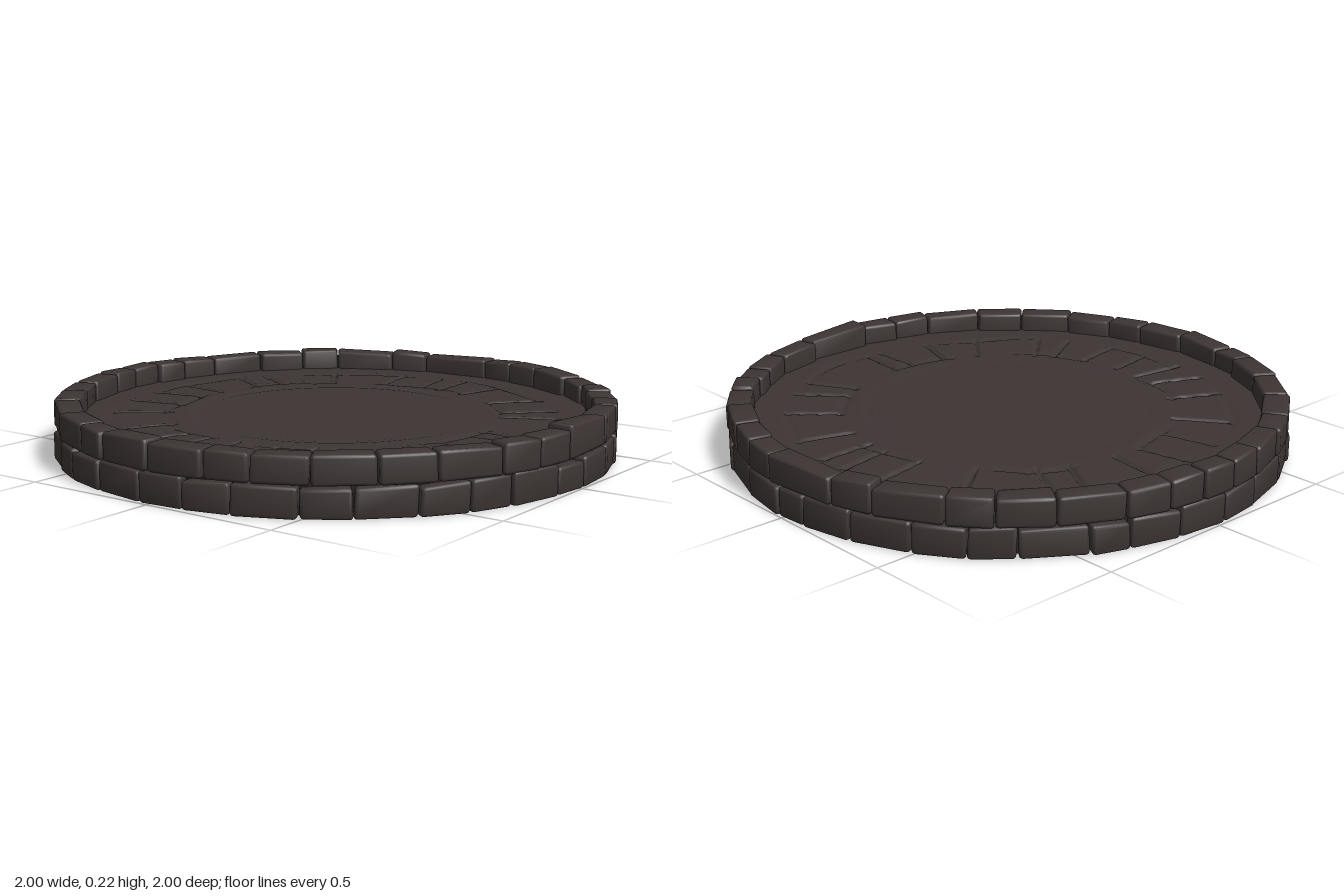
import * as THREE from 'three';
import { toCreasedNormals } from 'three/addons/utils/BufferGeometryUtils.js';
import { RoundedBoxGeometry } from 'three/addons/geometries/RoundedBoxGeometry.js';

const DEG = Math.PI / 180;

// Joint angles in degrees, measured from +x towards +z
const upperJoints = [4, 12, 21, 33, 43, 50, 57, 66, 77.5, 94, 103, 112, 125, 136, 148, 159, 168, 180,
  193, 201, 213, 226, 238, 247, 258, 266, 274, 282, 291, 304, 315, 324, 338, 347, 364];
const slabJoints = [4, 17, 37, 53, 62, 88, 94, 108, 122, 142, 150, 163, 176, 188, 198, 213, 234, 250,
  264, 276, 294, 303, 323, 343, 356];

function seeded(seed) {
  return () => {
    seed = (seed * 16807) % 2147483647;
    return seed / 2147483647;
  };
}

// One worn block, bent from a rounded box into its place on the ring
function stoneGeometry(a0, a1, y0, y1, r0, r1, rand, lift = 0) {
  const gap = 0.25;
  const mid = (a0 + a1) / 2 * DEG;
  const span = (a1 - a0 - gap) * DEG;
  const w = span * 0.95, h = y1 - y0, d = r1 - r0;
  const geo = new RoundedBoxGeometry(w, h, d, 2, 0.012);
  const pos = geo.attributes.position;
  // Uneven corners: top height and depth vary from end to end
  const topA = (rand() - 0.5) * 0.012, topB = (rand() - 0.5) * 0.012 + lift;
  const outA = -rand() * 0.012, outB = -rand() * 0.012;
  const inA = (rand() - 0.5) * 0.02, inB = (rand() - 0.5) * 0.02;
  const skew = (rand() - 0.5) * 0.012;
  for (let i = 0; i < pos.count; i++) {
    const u = 0.5 - pos.getX(i) / w;
    const v = pos.getY(i) / h + 0.5;
    const t = pos.getZ(i) / d + 0.5;
    const angle = mid + (u - 0.5) * span + skew * (v - 0.5);
    const y = y0 + v * h + v * (topA + (topB - topA) * u);
    const r = r0 + t * d + t * (outA + (outB - outA) * u) + (1 - t) * (inA + (inB - inA) * u);
    pos.setXYZ(i, r * Math.cos(angle), y, r * Math.sin(angle));
  }
  return toCreasedNormals(geo, 0.6);
}

// Round floor sheet with shallow joints pressed into it
function floorGeometry() {
  const R = 0.95, Y = 0.14;
  const geo = new THREE.PlaneGeometry(1, 1, 540, 72);
  const pos = geo.attributes.position;
  const groove = (dist, width, depth) => -depth * Math.max(0, 1 - Math.abs(dist) / width);
  for (let i = 0; i < pos.count; i++) {
    const a = (pos.getX(i) + 0.5) * Math.PI * 2;
    const r = (pos.getY(i) + 0.5) * R;
    const wave = 0.012 * Math.sin(5 * a + 1) + 0.008 * Math.sin(11 * a);
    let dip = 0;
    // Broken ring joints inside and outside the band of slabs
    const worn = 0.5 + 0.5 * Math.sin(7 * a + 2);
    dip = Math.min(dip, groove(r - 0.6 - wave, 0.016, 0.011 * worn));
    dip = Math.min(dip, groove(r - 0.79 - wave, 0.016, 0.008 * (1 - worn)));
    dip = Math.min(dip, groove(r - 0.5, 0.02, 0.003));
    // Radial joints between the slabs
    if (r > 0.59 && r < 0.8) {
      slabJoints.forEach((deg, k) => {
        const lean = (k % 3 - 1) * 0.15 * (r - 0.7);
        let da = a - deg * DEG - lean;
        da = Math.atan2(Math.sin(da), Math.cos(da));
        dip = Math.min(dip, groove(da * r, 0.012, 0.014));
      });
    }
    const y = Y + dip - (r < 0.48 ? 0.002 : 0);
    pos.setXYZ(i, r * Math.cos(a), y, r * Math.sin(a));
  }
  geo.computeVertexNormals();
  return geo;
}

export function createModel() {
  const model = new THREE.Group();
  model.name = 'stonePlatform';
  const stone = new THREE.MeshStandardMaterial({ color: 0x3d3534 });
  stone.name = 'darkStone';
  const floorStone = new THREE.MeshStandardMaterial({ color: 0x3d3534, side: THREE.DoubleSide });
  floorStone.name = 'floorStone';
  const mortar = new THREE.MeshStandardMaterial({ color: 0x2a2423, side: THREE.DoubleSide });
  mortar.name = 'mortar';

  const add = (parent, name, geo, mat) => {
    const mesh = new THREE.Mesh(geo, mat);
    mesh.name = name;
    parent.add(mesh);
    return mesh;
  };

  add(model, 'floor', floorGeometry(), floorStone);

  // Thin core that closes the joints of the wall
  const core = add(model, 'wallCore', new THREE.CylinderGeometry(0.955, 0.955, 0.18, 96, 1, true), mortar);
  core.position.y = 0.1;

  const rand = seeded(41);

  // Lower course, with joints loosely following the course above
  const lower = new THREE.Group();
  lower.name = 'lowerCourse';
  const count = 34;
  const lowerJoints = [];
  for (let i = 0; i < count; i++) lowerJoints.push((i + 0.35 * (rand() - 0.5)) * 360 / count + 3);
  lowerJoints.push(lowerJoints[0] + 360);
  for (let i = 0; i < count; i++) {
    const top = 0.108 + (rand() - 0.5) * 0.012;
    add(lower, 'lowerStone', stoneGeometry(lowerJoints[i], lowerJoints[i + 1], 0.005, top, 0.92, 1.003, rand), stone);
  }

  // Upper course, with one block raised at the front
  const upper = new THREE.Group();
  upper.name = 'upperCourse';
  for (let i = 0; i < upperJoints.length - 1; i++) {
    const a0 = upperJoints[i], a1 = upperJoints[i + 1];
    const lift = a0 === 77.5 ? 0.016 : 0;
    const top = 0.213 - rand() * 0.006;
    add(upper, 'upperStone', stoneGeometry(a0, a1, 0.11, top, 0.91, 1.003, rand, lift), stone);
  }

  model.add(lower, upper);
  return model;
}
